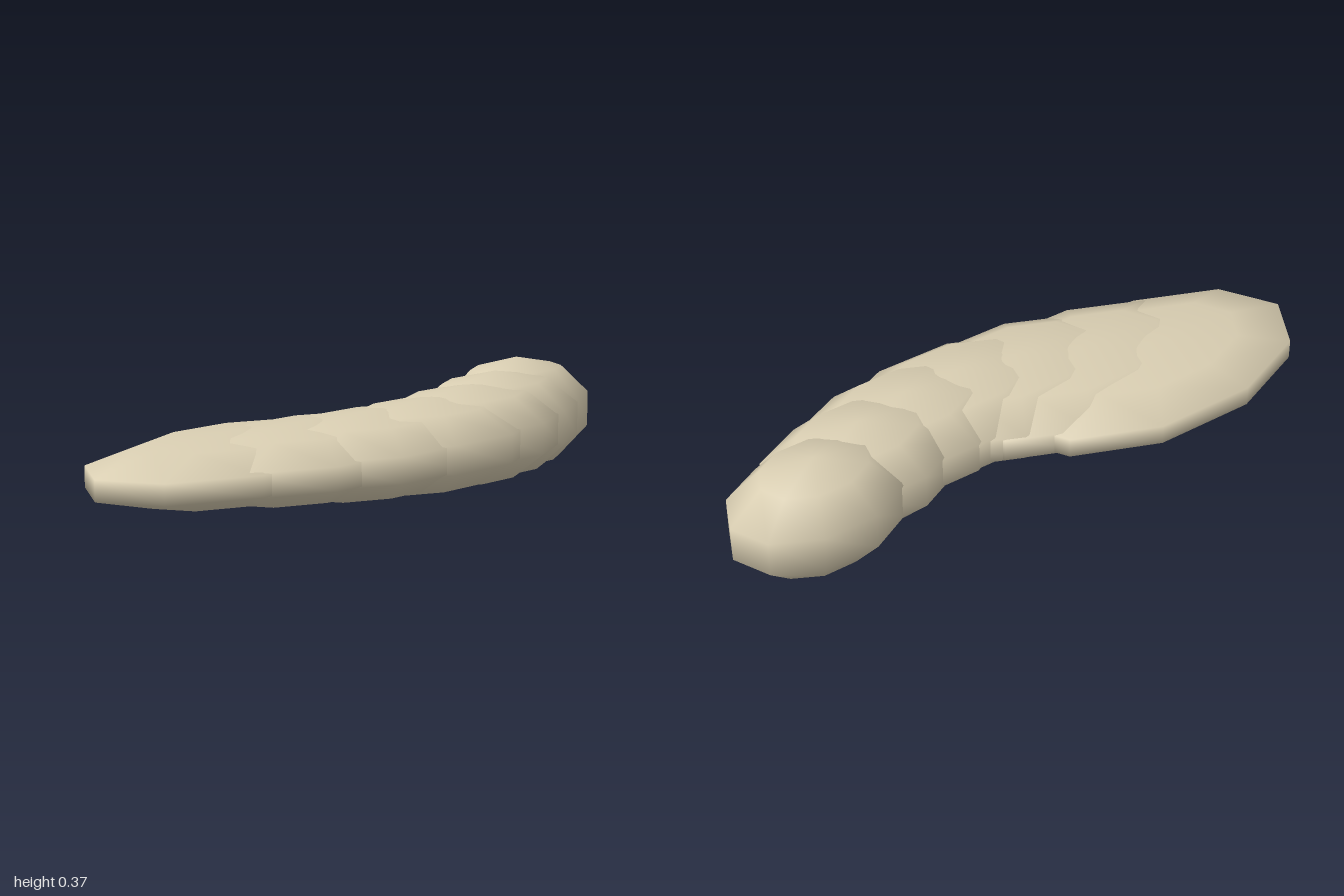
import * as THREE from 'three';

// Curved body of seven overlapping low-poly ellipsoids, round head to broad flat tail
export function createModel() {
  const group = new THREE.Group();
  group.name = 'segmentedBody';
  const cream = new THREE.MeshStandardMaterial({ color: 0xd9ceb2 });
  cream.name = 'cream';

  const sphere = new THREE.SphereGeometry(1, 10, 5);
  const ring = Math.sin(THREE.MathUtils.degToRad(72)); // widest ring of the five-row sphere
  const bend = [-0.042, 0.04, 0.097, 0.115, 0.088, 0.022, -0.07]; // sideways curve of the body
  const last = bend.length - 1;

  bend.forEach((z, i) => {
    const t = i / last;
    const segment = new THREE.Mesh(sphere, cream);
    segment.name = i === 0 ? 'head' : i === last ? 'tail' : `bodySegment${i}`;
    segment.position.set(THREE.MathUtils.lerp(0.72, -0.467, t), 0.1865, z);
    segment.scale.set(
      THREE.MathUtils.lerp(0.28, 0.533, t) / ring,
      THREE.MathUtils.lerp(0.185, 0.102, t),
      THREE.MathUtils.lerp(0.201, 0.3, t) / ring
    );
    group.add(segment);
  });
  return group;
}
